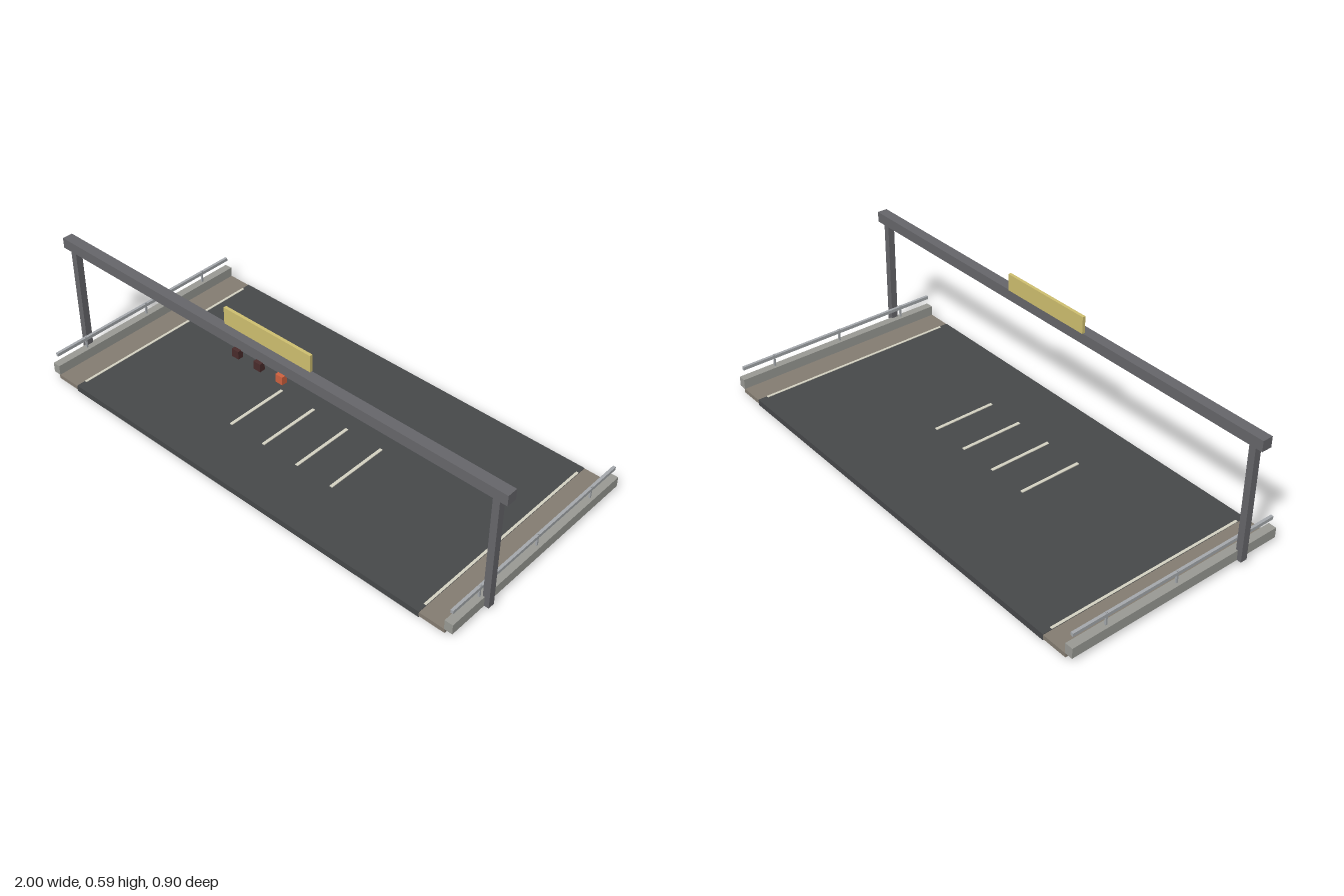
import * as THREE from 'three';

const paint = (color) => new THREE.MeshStandardMaterial({ color });

export function createModel() {
  const model = new THREE.Group();
  model.name = 'roadSectionWithGantry';

  const asphalt = paint(0x47494b);
  const line = paint(0xd6d4c4);
  const gravel = paint(0x857d72);
  const concrete = paint(0x9a9b95);
  const rail = paint(0xa6aaae);
  const steel = paint(0x67676b);
  const yellow = paint(0xd0c070);
  const darkLamp = paint(0x4a2c2c);
  const litLamp = paint(0xd0623f);

  // Box given by its extents on each axis
  function box(name, material, [x0, x1], [y0, y1], [z0, z1], parent = model) {
    const mesh = new THREE.Mesh(new THREE.BoxGeometry(x1 - x0, y1 - y0, z1 - z0), material);
    mesh.position.set((x0 + x1) / 2, (y0 + y1) / 2, (z0 + z1) / 2);
    mesh.name = name;
    parent.add(mesh);
  }
  const around = (centre, size) => [centre - size / 2, centre + size / 2];

  // Road deck and short lane dashes
  box('roadDeck', asphalt, [-0.82, 0.82], [0, 0.024], [-0.448, 0.448]);
  for (const x of [-0.242, -0.081, 0.081, 0.242]) {
    box('laneDash', line, around(x, 0.012), [0.023, 0.027], [-0.045, 0.217]);
  }

  // Shoulder, barrier, guard rail and gantry column on each side
  for (const side of [-1, 1]) {
    const group = new THREE.Group();
    group.name = side > 0 ? 'leftSide' : 'rightSide';
    model.add(group);
    const span = (a, b) => (side > 0 ? [a, b] : [-b, -a]);

    box('edgeLine', line, span(0.81, 0.82), [0.023, 0.026], [-0.412, 0.412], group);
    box('shoulder', gravel, span(0.82, 0.922), [0.006, 0.022], [-0.448, 0.448], group);
    box('barrier', concrete, span(0.919, 0.951), [0.022, 0.062], [-0.448, 0.448], group);
    box('guardRail', rail, span(0.93, 0.941), [0.096, 0.109], [-0.438, 0.438], group);
    for (const z of [-0.3, 0, 0.3]) {
      box('railPost', rail, span(0.932, 0.939), [0.06, 0.112], around(z, 0.007), group);
    }
    box('gantryColumn', steel, span(0.943, 0.969), [0.023, 0.482], [0.264, 0.291], group);
  }

  // Overhead beam with sign board and signal lamps
  box('gantryBeam', steel, [-1, 1], [0.481, 0.522], [0.257, 0.298]);
  box('signBoard', yellow, [-0.195, 0.195], [0.522, 0.587], [0.254, 0.266]);
  [-0.1, 0, 0.1].forEach((x, i) => {
    box('signalLamp', i === 2 ? litLamp : darkLamp, around(x, 0.03), [0.453, 0.484], [0.29, 0.312]);
  });

  return model;
}
